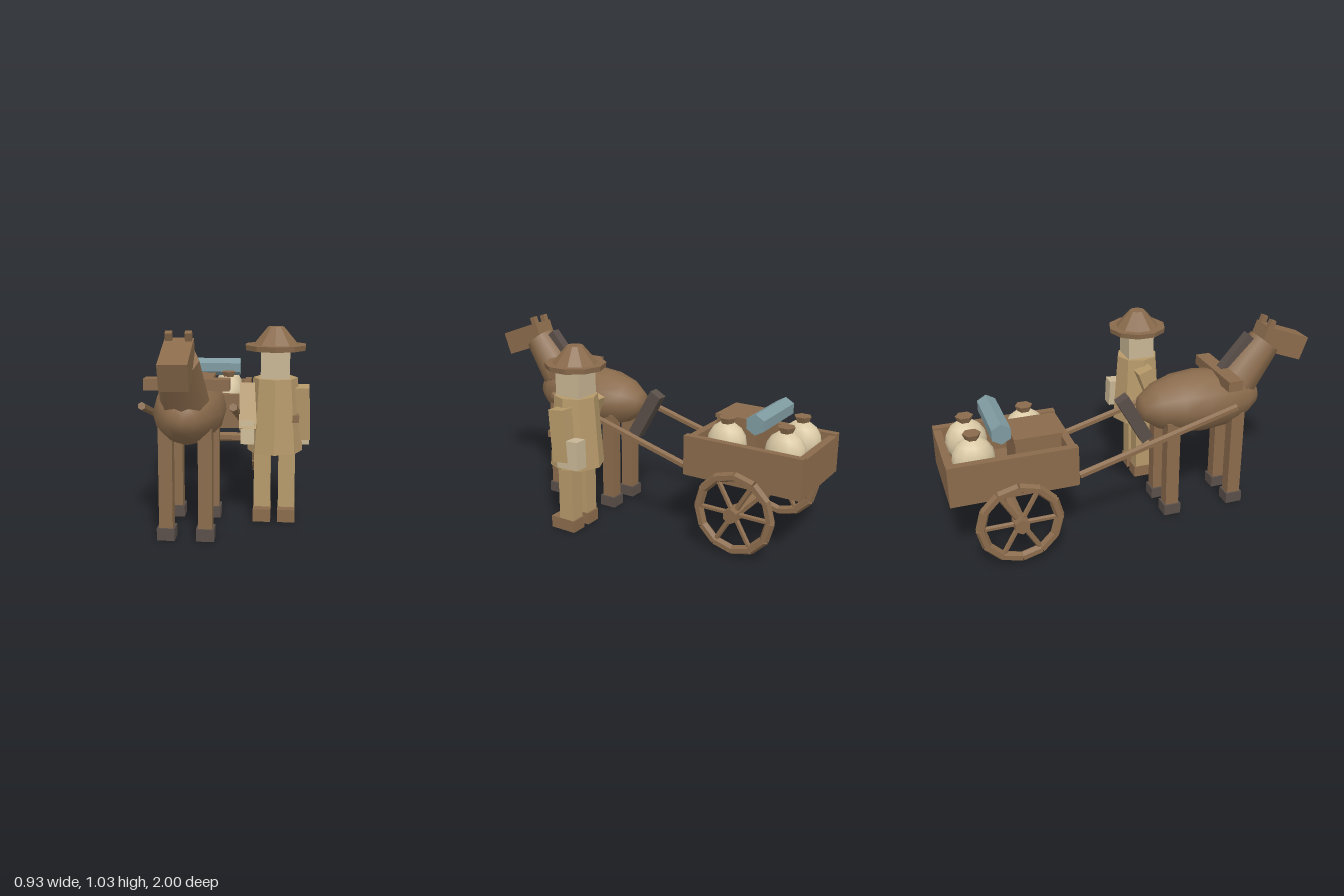
import * as THREE from 'three';

const flat = (name, color) => {
  const m = new THREE.MeshStandardMaterial({ color, flatShading: true });
  m.name = name;
  return m;
};
const smooth = (name, color) => {
  const m = new THREE.MeshStandardMaterial({ color });
  m.name = name;
  return m;
};

export function createModel() {
  const wood = flat('brown wood', 0x8a6b4c);
  const coatTan = flat('tan cloth', 0xb6996a);
  const skin = flat('pale skin', 0xc8b694);
  const dark = flat('dark hair', 0x5a4f49);
  const blue = flat('blue cloth', 0x7f9ba1);
  const hide = smooth('brown hide', 0x8a6b4c);
  const sackCloth = smooth('cream sackcloth', 0xd9c8a4);

  const model = new THREE.Group();
  model.name = 'horseCartAndDriver';
  const group = (name, parent = model) => {
    const g = new THREE.Group();
    g.name = name;
    parent.add(g);
    return g;
  };
  const add = (parent, name, geo, mat, x = 0, y = 0, z = 0, rx = 0, rz = 0) => {
    const m = new THREE.Mesh(geo, mat);
    m.name = name;
    m.position.set(x, y, z);
    m.rotation.set(rx, 0, rz);
    parent.add(m);
    return m;
  };
  const box = (w, h, d) => new THREE.BoxGeometry(w, h, d);
  // Hexagonal bars with an edge upward, lying along z or x
  const barZ = (r, len) => new THREE.CylinderGeometry(r, r, len, 6).rotateX(Math.PI / 2);
  const barX = (r, len) => barZ(r, len).rotateY(Math.PI / 2);

  const CX = -0.136; // centre line of horse and cart

  // ---- Cart ----
  const cart = group('cart');
  add(cart, 'cartFloor', box(0.48, 0.04, 0.64), wood, CX, 0.375, -0.68);
  for (const s of [-1, 1]) {
    add(cart, 'cartSideWall', box(0.04, 0.21, 0.645), wood, CX + s * 0.22, 0.463, -0.677);
    add(cart, 'cartEndWall', box(0.48, 0.2, 0.04), wood, CX, 0.457, -0.678 + s * 0.302);
    add(cart, 'shaft', barZ(0.02, 0.89), wood, CX + s * 0.222, 0.52, 0.08, -Math.atan2(0.24, 0.86));
  }

  // Axle and wheels
  const WY = 0.232, WZ = -0.676, RIM = 0.198;
  add(cart, 'axle', barX(0.029, 0.5), wood, CX, WY, WZ);
  for (const s of [-1, 1]) {
    const wheel = group('wheel', cart);
    wheel.position.set(CX + s * 0.288, WY, WZ);
    add(wheel, 'hub', barX(0.041, 0.088), wood);
    for (let i = 0; i < 12; i++) {
      const pivot = group('rimPivot', wheel);
      pivot.rotation.x = ((i + 0.5) * Math.PI) / 6;
      add(pivot, 'rimSegment', barZ(0.025, 2 * RIM * Math.sin(Math.PI / 12)), wood,
        0, RIM * Math.cos(Math.PI / 12), 0);
    }
    for (let i = 0; i < 6; i++) {
      const pivot = group('spokePivot', wheel);
      pivot.rotation.x = Math.PI / 2 + (i * Math.PI) / 3;
      add(pivot, 'spoke', new THREE.CylinderGeometry(0.014, 0.014, 0.17, 6), wood, 0, 0.105, 0);
    }
  }

  // Cargo
  const cargo = group('cargo');
  add(cargo, 'crate', box(0.225, 0.23, 0.23), wood, -0.22, 0.51, -0.545);
  add(cargo, 'crateLid', box(0.235, 0.02, 0.24), wood, -0.22, 0.633, -0.545);
  for (const [x, z] of [[-0.24, -0.85], [-0.037, -0.85], [-0.015, -0.54]]) {
    const sack = group('sack', cargo);
    sack.position.set(x, 0.53, z);
    add(sack, 'sackBody', new THREE.SphereGeometry(1, 12, 8), sackCloth).scale.set(0.085, 0.115, 0.107);
    add(sack, 'sackNeck', new THREE.CylinderGeometry(0.046, 0.027, 0.045, 6), wood, 0, 0.115, 0);
  }
  add(cargo, 'clothRoll', barX(0.054, 0.362), blue, CX, 0.673, -0.72);

  // ---- Horse ----
  const horse = group('horse');
  horse.position.x = CX;
  add(horse, 'body', new THREE.SphereGeometry(1, 12, 8).rotateX(Math.PI / 2), hide, 0, 0.608, 0.387)
    .scale.set(0.18, 0.168, 0.355);
  // Neck leans forward and up
  add(horse, 'neck', new THREE.CylinderGeometry(0.09, 0.117, 0.26, 8), hide, 0, 0.793, 0.688, 0.67);
  add(horse, 'mane', box(0.056, 0.25, 0.075), dark, 0, 0.835, 0.605, 0.72);
  const head = group('head', horse);
  head.position.set(0, 0.89, 0.854);
  head.rotation.x = 0.349;
  add(head, 'skull', box(0.13, 0.128, 0.263), wood);
  for (const s of [-1, 1]) add(head, 'ear', box(0.031, 0.05, 0.03), wood, s * 0.044, 0.077, -0.11);
  add(horse, 'tail', box(0.062, 0.29, 0.07), dark, 0, 0.553, 0.022, -0.51);
  add(horse, 'harnessYoke', box(0.412, 0.055, 0.08), wood, 0, 0.75, 0.505);
  for (const s of [-1, 1]) {
    for (const z of [0.573, 0.2]) {
      add(horse, 'leg', box(0.067, 0.5, 0.074), wood, s * 0.095, 0.3, z);
      add(horse, 'hoof', box(0.087, 0.06, 0.094), dark, s * 0.095, 0.03, z);
    }
  }

  // ---- Driver ----
  const man = group('driver');
  man.position.set(0.281, 0, 0.193);
  add(man, 'coat', new THREE.CylinderGeometry(0.114, 0.143, 0.38, 8), coatTan, 0, 0.552, 0);
  add(man, 'face', box(0.147, 0.15, 0.147), skin, 0, 0.812, 0);
  add(man, 'hatBrim', new THREE.CylinderGeometry(0.16, 0.156, 0.027, 10), wood, 0, 0.898, 0);
  add(man, 'hatCrown', new THREE.CylinderGeometry(0.042, 0.119, 0.09, 10), wood, 0, 0.956, 0);
  for (const s of [-1, 1]) {
    add(man, 'trouserLeg', box(0.086, 0.32, 0.086), coatTan, s * 0.063, 0.22, 0.004);
    add(man, 'shoe', box(0.09, 0.066, 0.15), wood, s * 0.063, 0.033, 0.027);
  }
  // One arm swings forward, the other back
  add(man, 'forwardArm', box(0.088, 0.24, 0.085), coatTan, -0.137, 0.59, 0.027, -0.35);
  add(man, 'forwardHand', box(0.07, 0.12, 0.085), skin, -0.138, 0.468, 0.065, -0.1);
  add(man, 'backArm', box(0.08, 0.275, 0.092), coatTan, 0.138, 0.56, -0.013, 0.1, 0.03);
  add(man, 'backHand', box(0.075, 0.15, 0.13), skin, 0.137, 0.468, -0.066, 0.04, 0.03);
  add(man, 'pouch', box(0.035, 0.036, 0.07), wood, 0.106, 0.542, 0.06);

  return model;
}
